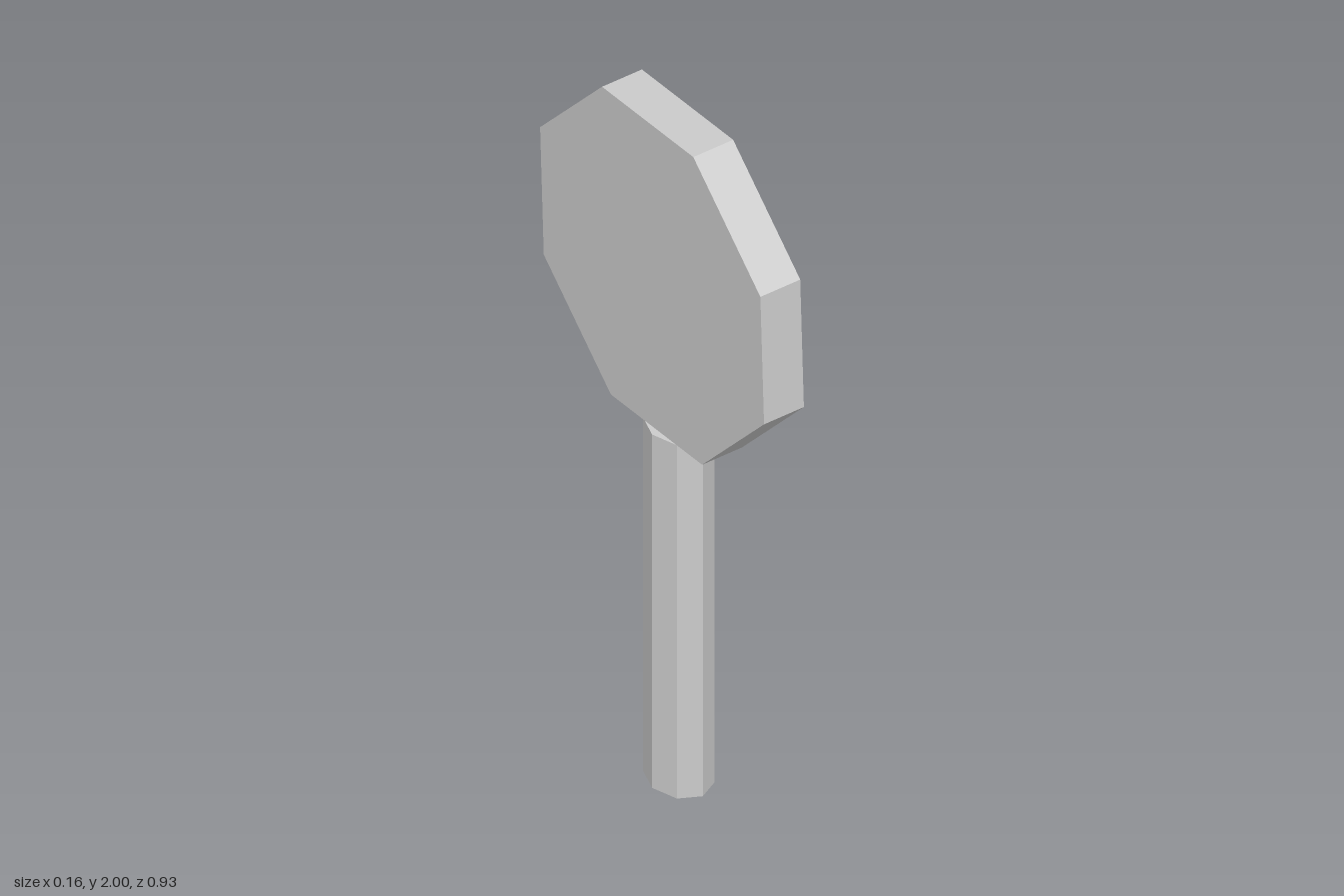
import * as THREE from 'three';

export function createModel() {
  const group = new THREE.Group();
  const material = new THREE.MeshStandardMaterial({ color: 0xcccccc, flatShading: true });
  const add = (name, geometry) => {
    const mesh = new THREE.Mesh(geometry, material);
    mesh.name = name;
    group.add(mesh);
    return mesh;
  };

  // Eight-sided handle, slightly deeper than wide
  const height = 1.075;
  const handle = add('handle', new THREE.CylinderGeometry(1, 1, height, 8).scale(0.08, 1, 0.1));
  handle.position.set(0, height / 2, 0.025);

  // Octagonal head: flat back, raised rim and recessed face towards +x
  const profile = [
    [0, -0.062], [0.495, -0.062], [0.495, 0.058],
    [0.448, 0.058], [0.448, 0.003], [0, 0.003],
  ].map(([r, y]) => new THREE.Vector2(r, y));
  const tilt = THREE.MathUtils.degToRad(-69.8);
  const head = add('mirrorHead', new THREE.LatheGeometry(profile, 8, tilt).rotateZ(-Math.PI / 2));
  head.position.y = 1.535;

  return group;
}
